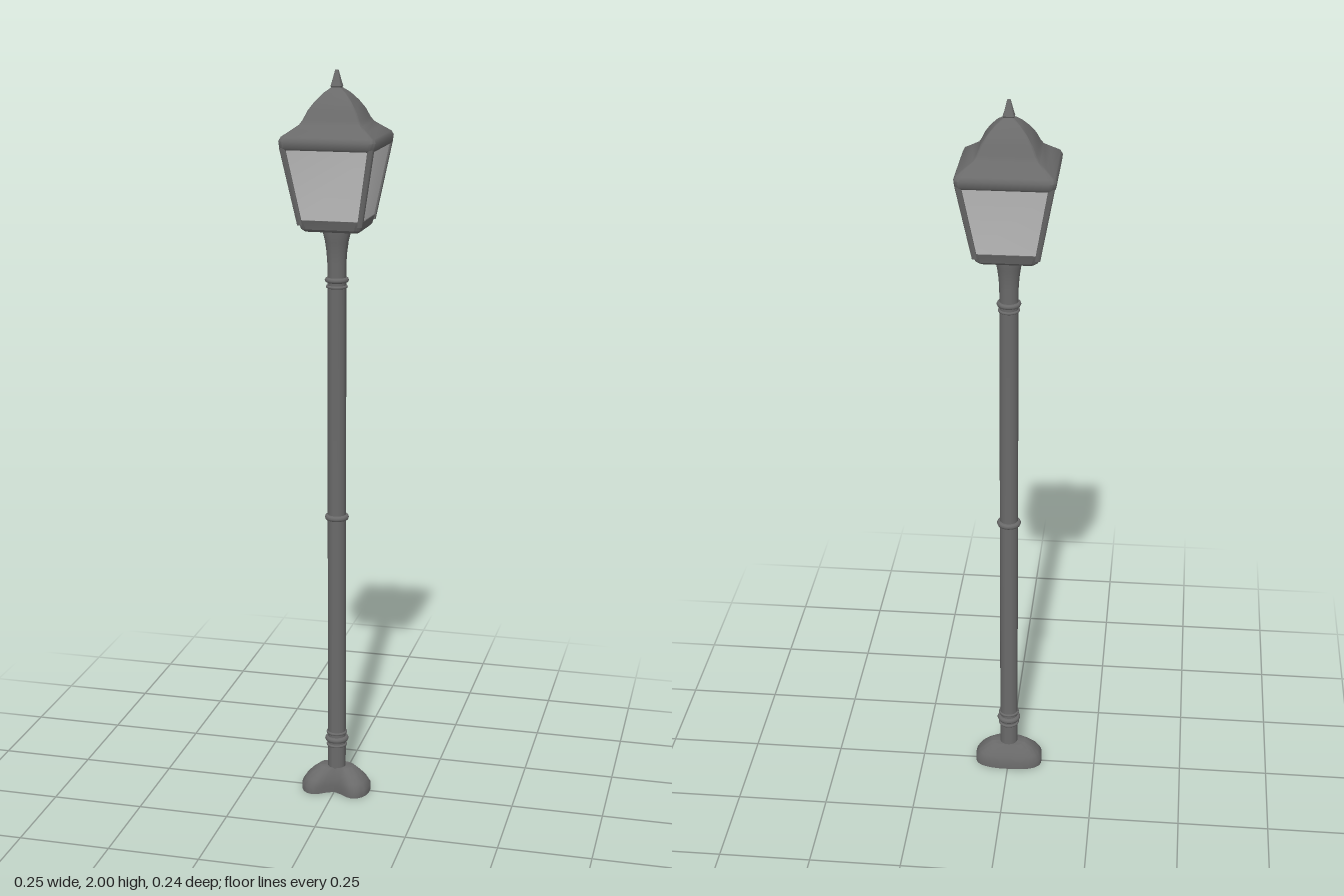
import * as THREE from 'three';
import { toCreasedNormals } from 'three/addons/utils/BufferGeometryUtils.js';

const metal = new THREE.MeshStandardMaterial({ color: 0x6a6a6a });
metal.name = 'grey metal';
const glass = new THREE.MeshStandardMaterial({ color: 0xc8c8c8, side: THREE.DoubleSide });
glass.name = 'frosted glass';

// Skin a stack of equal-length rings (bottom to top) and close both ends
function loft(rings, crease = 0.6) {
  const n = rings[0].length, pos = [], index = [];
  rings.forEach(ring => ring.forEach(p => pos.push(...p)));
  for (let k = 0; k < rings.length - 1; k++) {
    for (let i = 0; i < n; i++) {
      const a = k * n + i, b = k * n + (i + 1) % n;
      index.push(a, a + n, b, b, a + n, b + n);
    }
  }
  const cap = (k, top) => {
    const c = pos.length / 3, mid = [0, 0, 0];
    rings[k].forEach(p => p.forEach((v, j) => { mid[j] += v / n; }));
    pos.push(...mid);
    for (let i = 0; i < n; i++) {
      const a = k * n + i, b = k * n + (i + 1) % n;
      index.push(c, top ? b : a, top ? a : b);
    }
  };
  cap(0, false);
  cap(rings.length - 1, true);
  const g = new THREE.BufferGeometry();
  g.setAttribute('position', new THREE.Float32BufferAttribute(pos, 3));
  g.setIndex(index);
  return toCreasedNormals(g, crease);
}

// Rounded rectangle ring: height, half sizes, corner radius, centre
function rectRing(y, hx, hz, r, cx = 0, cz = 0) {
  const ring = [];
  for (let q = 0; q < 4; q++) {
    const sx = q === 0 || q === 3 ? 1 : -1, sz = q < 2 ? 1 : -1;
    for (let s = 0; s <= 4; s++) {
      const a = (q + s / 4) * Math.PI / 2;
      ring.push([cx + sx * (hx - r) + r * Math.cos(a), y, cz + sz * (hz - r) + r * Math.sin(a)]);
    }
  }
  return ring;
}

// Bean-shaped ring with a hollow in the front edge
function beanRing(y, hx, back, front, notch) {
  const ring = [], n = 40;
  const soft = v => Math.sign(v) * Math.abs(v) ** 0.75;
  for (let i = 0; i < n; i++) {
    const a = i / n * Math.PI * 2, c = soft(Math.cos(a)), s = soft(Math.sin(a));
    const dent = s > 0 ? notch * Math.exp(-((c / 0.42) ** 2)) : 0;
    ring.push([hx * c, y, s > 0 ? s * (front - dent) : s * back]);
  }
  return ring;
}

export function createModel() {
  const model = new THREE.Group();
  model.name = 'streetLamp';
  const add = (name, geometry, material = metal) => {
    const mesh = new THREE.Mesh(geometry, material);
    mesh.name = name;
    model.add(mesh);
    return mesh;
  };

  // Foot
  add('foot', loft([
    beanRing(0, 0.096, 0.05, 0.073, 0.04),
    beanRing(0.02, 0.096, 0.05, 0.073, 0.04),
    beanRing(0.036, 0.086, 0.045, 0.062, 0.03),
    beanRing(0.053, 0.07, 0.036, 0.045, 0.016),
    beanRing(0.07, 0.048, 0.026, 0.027, 0.003),
  ], 0.8));

  // Pole, flaring out under the lantern
  const polePoints = [[0.025, 0.05], [0.025, 1.5], [0.027, 1.53], [0.031, 1.56], [0.037, 1.585], [0.037, 1.6]];
  add('pole', toCreasedNormals(new THREE.LatheGeometry(polePoints.map(p => new THREE.Vector2(...p)), 24), 0.6));

  // Collars
  for (const [y, r] of [[0.135, 0.004], [0.153, 0.008], [0.172, 0.004], [0.805, 0.008], [1.44, 0.004], [1.458, 0.007]]) {
    const ring = add('collar', new THREE.TorusGeometry(0.025, r, 8, 24));
    ring.rotation.x = Math.PI / 2;
    ring.position.y = y;
  }

  // Lantern floor
  add('lanternFloor', loft([
    rectRing(1.593, 0.072, 0.069, 0.014),
    rectRing(1.6, 0.08, 0.077, 0.016),
    rectRing(1.624, 0.087, 0.083, 0.016),
  ]));

  // Corner posts
  for (const sx of [-1, 1]) for (const sz of [-1, 1]) {
    add('cornerPost', loft([
      rectRing(1.61, 0.007, 0.007, 0.004, sx * 0.079, sz * 0.075),
      rectRing(1.812, 0.008, 0.008, 0.004, sx * 0.115, sz * 0.110),
    ]));
  }

  // Glass, set slightly behind the posts
  add('glassPanes', loft([
    rectRing(1.615, 0.082, 0.078, 0.002),
    rectRing(1.812, 0.118, 0.113, 0.002),
  ]), glass);

  // Roof with rounded eaves and a bell-shaped crown
  add('roof', loft([
    rectRing(1.806, 0.12, 0.115, 0.014),
    rectRing(1.812, 0.125, 0.12, 0.017),
    rectRing(1.828, 0.127, 0.122, 0.018),
    rectRing(1.838, 0.122, 0.117, 0.016),
    rectRing(1.853, 0.1, 0.095, 0.01),
    rectRing(1.866, 0.082, 0.076, 0.006),
    rectRing(1.878, 0.074, 0.068, 0.005),
    rectRing(1.9, 0.064, 0.059, 0.005),
    rectRing(1.922, 0.049, 0.045, 0.005),
    rectRing(1.942, 0.031, 0.028, 0.004),
    rectRing(1.955, 0.014, 0.013, 0.004),
    rectRing(1.96, 0.008, 0.008, 0.003),
  ], 0.7));

  // Finial
  add('finial', loft([
    rectRing(1.95, 0.01, 0.009, 0.004),
    rectRing(1.96, 0.015, 0.013, 0.005),
    rectRing(1.968, 0.012, 0.011, 0.004),
    rectRing(1.985, 0.008, 0.007, 0.003),
    rectRing(2, 0.004, 0.004, 0.002),
  ]));

  return model;
}
